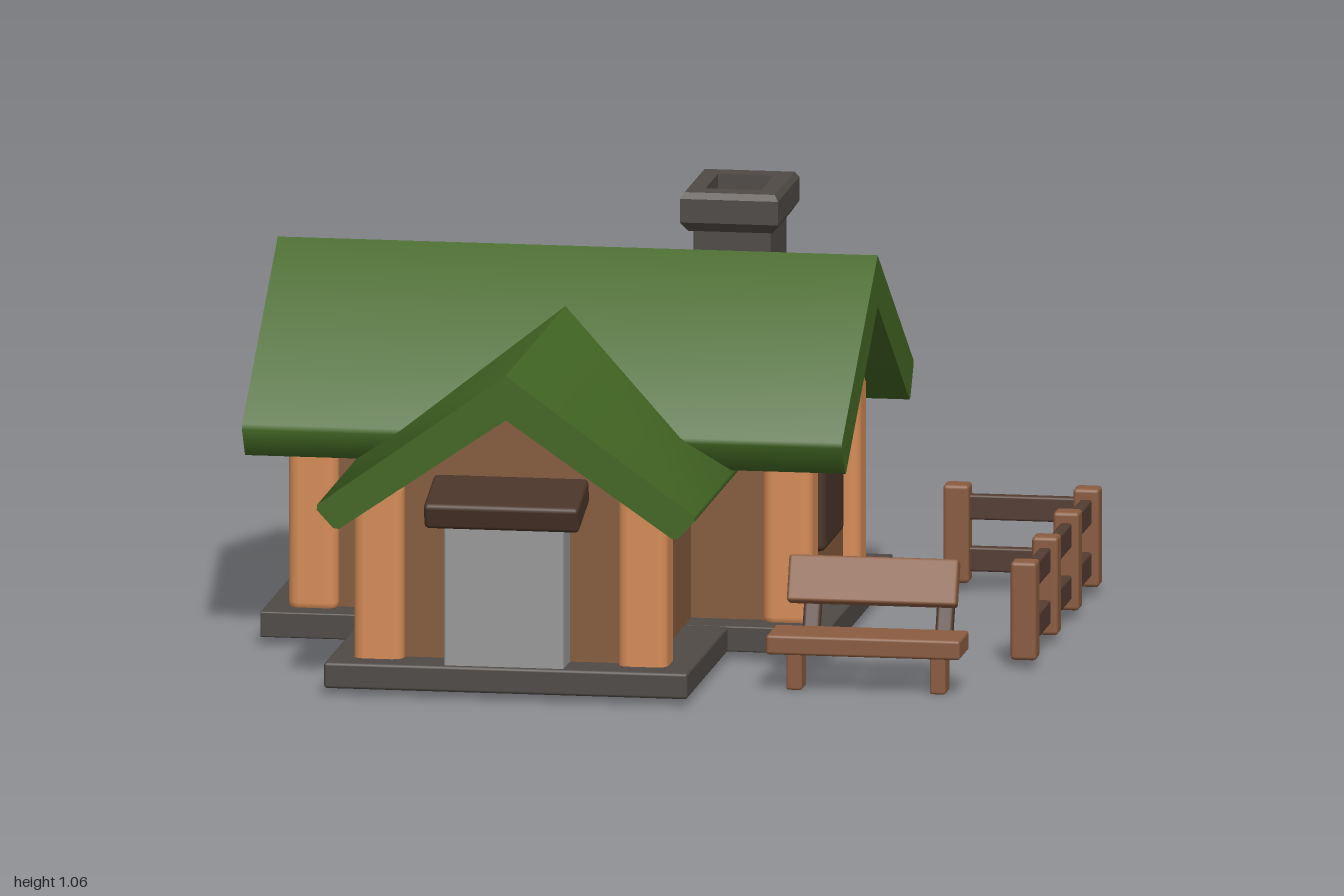
import * as THREE from 'three';
import { RoundedBoxGeometry } from 'three/addons/geometries/RoundedBoxGeometry.js';
import { toCreasedNormals } from 'three/addons/utils/BufferGeometryUtils.js';

const mat = (color) => new THREE.MeshStandardMaterial({ color });
const GREEN = mat(0x436724), POST = mat(0xd68c57), WALL = mat(0x865b3e), STONE = mat(0x4f4a46);
const DARK = mat(0x4a3428), WOOD = mat(0x8a5c40), RAIL = mat(0x543d32), DOOR = mat(0x999999);

export function createModel() {
  const house = new THREE.Group();
  house.name = 'cottage';

  const add = (name, geo, material, parent = house) => {
    const mesh = new THREE.Mesh(geo, material);
    mesh.name = name;
    parent.add(mesh);
    return mesh;
  };
  // Box from its limits on each axis, with softened edges
  const box = (name, material, [x0, x1], [y0, y1], [z0, z1], r = 0.008, parent = house) => {
    const m = add(name, new RoundedBoxGeometry(x1 - x0, y1 - y0, z1 - z0, 2, r), material, parent);
    m.position.set((x0 + x1) / 2, (y0 + y1) / 2, (z0 + z1) / 2);
    return m;
  };
  // Profile extruded along z, starting at z = 0
  const extrude = (points, depth) => new THREE.ExtrudeGeometry(
    new THREE.Shape(points.map(([x, y]) => new THREE.Vector2(x, y))),
    { depth, bevelEnabled: false });
  // Folded roof slab with eaves softened by a small chamfer: ridge, outer eave, inner eave, underside ridge
  const roof = (top, outer, inner, under, depth) => {
    const toward = ([ax, ay], [bx, by], d) => {
      const k = d / Math.hypot(bx - ax, by - ay);
      return [ax + (bx - ax) * k, ay + (by - ay) * k];
    };
    const c = 0.01;
    const eave = [toward(outer, [0, top], c), toward(outer, inner, c),
      toward(inner, outer, c), toward(inner, [0, under], c)];
    const mirrored = eave.map(([x, y]) => [-x, y]);
    return toCreasedNormals(
      extrude([[0, top], ...mirrored, [0, under], ...eave.reverse()], depth), 0.9);
  };
  const gable = (half, bottom, side, apex, depth) =>
    extrude([[-half, bottom], [half, bottom], [half, side], [0, apex], [-half, side]], depth);
  // Rectangular frame made of four bars
  const frame = (name, material, [x0, x1], ys, [z0, z1], t) => {
    const g = new THREE.Group();
    g.name = name;
    house.add(g);
    for (const z of [z0, z1 - t]) box('longBar', material, [x0, x1], ys, [z, z + t], 0.004, g);
    for (const x of [x0, x1 - t]) box('shortBar', material, [x, x + t], ys, [z0, z1], 0.004, g);
  };

  // Stone bases; the main one is hollow underneath and shows the wall footings
  box('mainFloor', STONE, [-0.963, 0.475], [0.068, 0.085], [-0.81, 0.187], 0.004);
  frame('mainBaseRim', STONE, [-0.963, 0.475], [0.02, 0.083], [-0.81, 0.187], 0.03);
  box('porchBase', STONE, [-0.70, 0.22], [0.018, 0.084], [0.15, 0.812]);
  frame('mainFooting', WALL, [-0.87, 0.38], [0.015, 0.075], [-0.71, 0.09], 0.05);
  frame('porchFooting', WALL, [-0.598, 0.112], [0.013, 0.075], [-0.4, 0.09], 0.05);

  // Main wing, ridge along x
  const mainWalls = add('mainWalls', gable(0.4, 0.08, 0.59, 0.86, 1.25), WALL);
  mainWalls.rotation.y = Math.PI / 2;
  mainWalls.position.set(-0.87, 0, -0.31);
  const mainRoof = add('mainRoof', roof(0.942, [0.56, 0.565], [0.5, 0.475], 0.812, 1.518), GREEN);
  mainRoof.rotation.y = Math.PI / 2;
  mainRoof.position.set(-1, 0, -0.312);

  // Entrance wing, ridge along z
  add('porchWalls', gable(0.355, 0.08, 0.505, 0.76, 1.0), WALL).position.set(-0.243, 0, -0.3);
  add('porchRoof', roof(0.823, [0.485, 0.475], [0.43, 0.415], 0.71, 0.93), GREEN)
    .position.set(-0.243, 0, -0.14);

  // Corner posts
  for (const x of [-0.842, 0.359])
    for (const z of [-0.685, 0.06])
      box('mainPost', POST, [x - 0.063, x + 0.063], [0.07, 0.635], [z - 0.063, z + 0.063], 0.028);
  for (const x of [-0.575, 0.094])
    box('porchPost', POST, [x - 0.063, x + 0.063], [0.01, 0.535], [0.617, 0.743], 0.028);

  // Door and its tilted awning
  box('door', DOOR, [-0.398, -0.095], [0.07, 0.47], [0.6, 0.8], 0.006);
  const awning = box('awning', DARK, [-0.439, -0.047], [0.46, 0.527], [0.686, 0.866], 0.012);
  awning.position.set(-0.243, 0.496, 0.778);
  awning.rotation.x = 0.28;

  // Shuttered windows on both gable ends
  for (const x of [-0.87, 0.38])
    box('window', DARK, [x - 0.03, x + 0.03], [0.21, 0.512], [-0.463, -0.163], 0.018);

  // Chimney with an open cap: a four-sided ring, bevelled outside
  box('chimneyShaft', STONE, [0.023, 0.22], [0.6, 0.99], [-0.725, -0.48], 0.006);
  const capProfile = [[0.57, 0.985], [0.86, 0.96], [1, 0.985], [1, 1.045], [0.92, 1.06],
    [0.57, 1.06], [0.57, 0.985]].map(([r, y]) => new THREE.Vector2(r * Math.SQRT2, y));
  const capGeo = new THREE.LatheGeometry(capProfile, 4, Math.PI / 4).scale(0.124, 1, 0.167);
  add('chimneyCap', toCreasedNormals(capGeo, 0.3), STONE).position.set(0.121, 0, -0.604);

  // Fence
  const fence = new THREE.Group();
  fence.name = 'fence';
  house.add(fence);
  const fx = 0.967, fz = -0.815;
  for (const [x, z] of [[fx, 0.153], [fx, -0.18], [fx, -0.507], [fx, fz], [0.638, fz]])
    box('fencePost', WOOD, [x - 0.033, x + 0.033], [0.02, 0.27], [z - 0.031, z + 0.031], 0.01, fence);
  for (const [y0, y1] of [[0.048, 0.11], [0.18, 0.243]]) {
    box('sideRail', RAIL, [fx - 0.015, fx + 0.015], [y0, y1], [fz, 0.15], 0.006, fence);
    box('backRail', RAIL, [0.635, fx], [y0, y1], [fz - 0.015, fz + 0.015], 0.006, fence);
  }

  // Bench
  const bench = new THREE.Group();
  bench.name = 'bench';
  house.add(bench);
  box('seat', WOOD, [0.382, 0.873], [0.095, 0.145], [0.444, 0.59], 0.008, bench);
  const back = box('backrest', WOOD, [0.415, 0.844], [0.2, 0.319], [0.41, 0.453], 0.008, bench);
  back.rotation.x = -0.38;
  for (const x of [0.448, 0.811])
    box('benchLeg', WOOD, [x - 0.02, x + 0.02], [0, 0.11], [0.485, 0.555], 0.006, bench);
  for (const x of [0.474, 0.81]) {
    const s = box('backSupport', RAIL, [x - 0.022, x + 0.022], [0.09, 0.285], [0.402, 0.437], 0.01, bench);
    s.rotation.x = -0.38;
  }

  return house;
}
